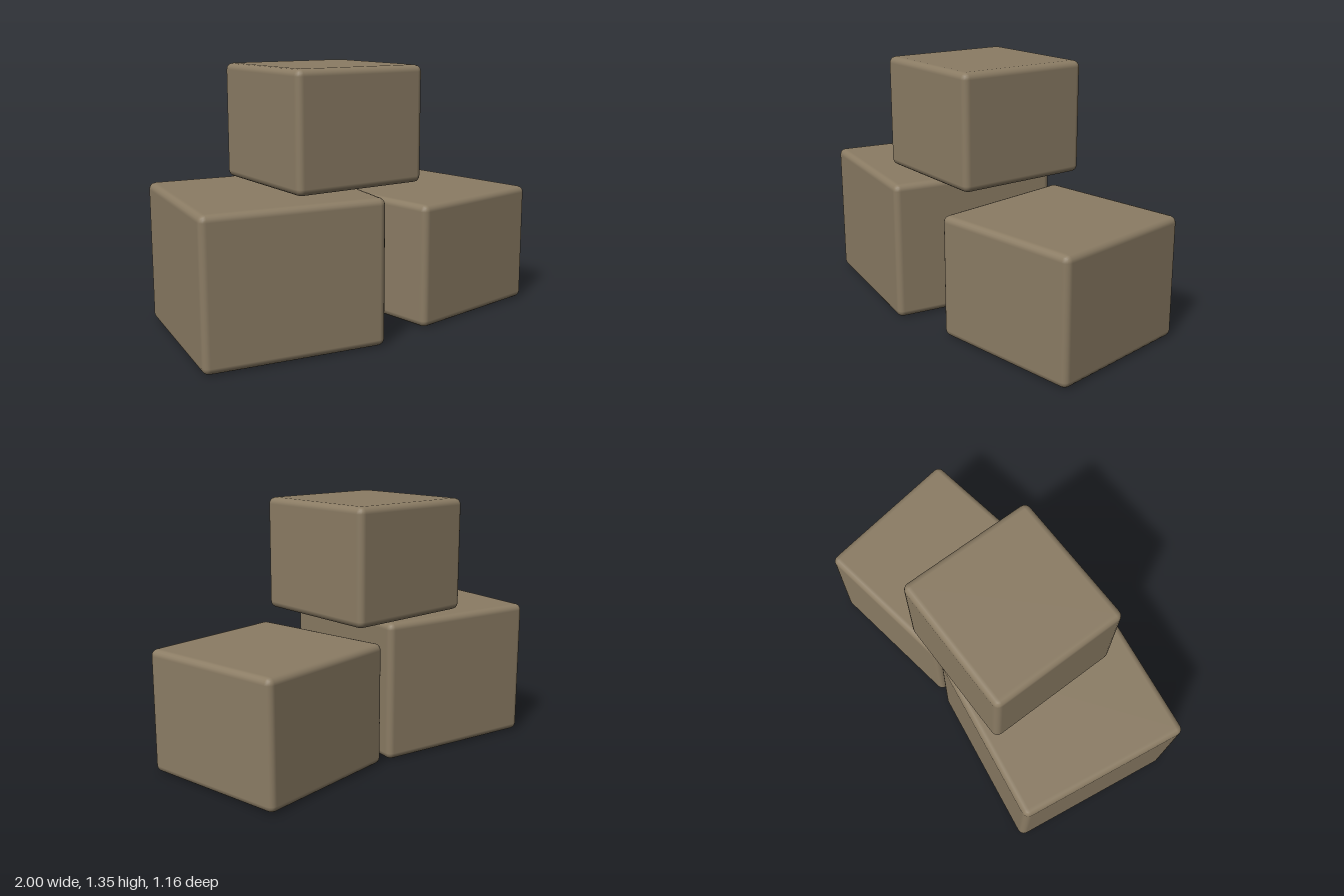
import * as THREE from 'three';
import { RoundedBoxGeometry } from 'three/addons/geometries/RoundedBoxGeometry.js';

export function createModel() {
  const group = new THREE.Group();
  group.name = 'crateStack';

  const brown = new THREE.MeshStandardMaterial({ color: 0x8b7c64 });
  brown.name = 'dusty brown';

  // Square-based block with softened edges, standing on the given height
  function addBlock(name, width, height, x, base, z, turn) {
    const block = new THREE.Mesh(new RoundedBoxGeometry(width, height, width, 2, 0.035), brown);
    block.name = name;
    block.position.set(x, base + height / 2, z);
    block.rotation.y = turn;
    group.add(block);
  }

  addBlock('largeBlock', 0.925, 0.74, -0.5375, 0, 0.115, 0);
  addBlock('mediumBlock', 0.832, 0.648, 0.488, 0, -0.072, 0.3);
  addBlock('topBlock', 0.74, 0.6, -0.165, 0.75, 0.022, 0.15);

  return group;
}
